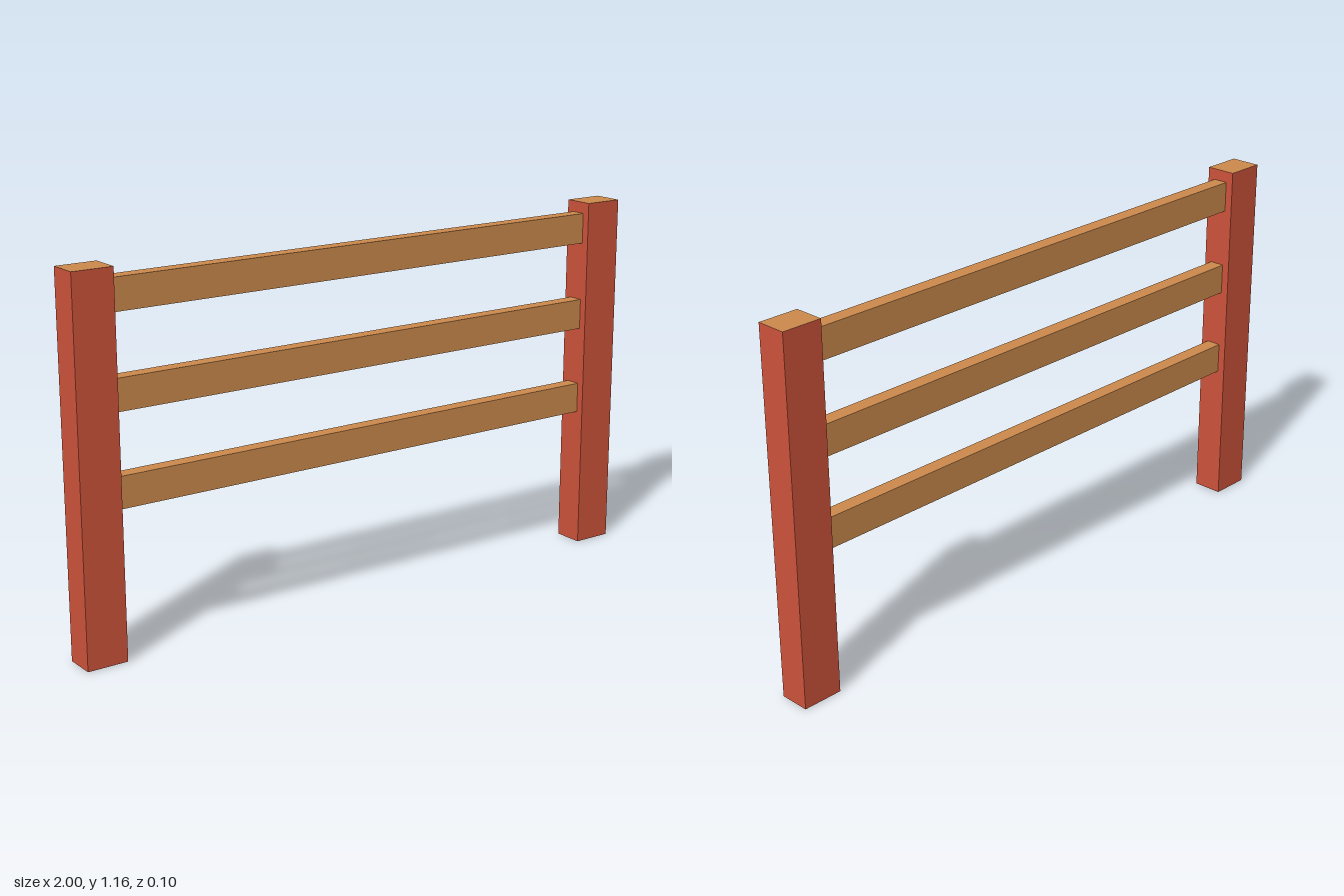
import * as THREE from 'three';

export function createModel() {
  const model = new THREE.Group();
  model.name = 'fence';

  const red = new THREE.MeshStandardMaterial({ color: 0xcd533b });
  red.name = 'red paint';
  const wood = new THREE.MeshStandardMaterial({ color: 0xcc8a4c });
  wood.name = 'bare wood';

  const postWidth = 0.13, postHeight = 1.16, postDepth = 0.098;
  const postX = 1 - postWidth / 2;

  // Posts: painted sides, bare wood on the cut top and bottom
  const postGeometry = new THREE.BoxGeometry(postWidth, postHeight, postDepth);
  for (const [name, side] of [['leftPost', 1], ['rightPost', -1]]) {
    const post = new THREE.Mesh(postGeometry, [red, red, wood, wood, red, red]);
    post.name = name;
    post.position.set(side * postX, postHeight / 2, 0);
    model.add(post);
  }

  // Three rails spanning between the inner faces of the posts
  const railGeometry = new THREE.BoxGeometry(2 - 2 * postWidth, 0.098, 0.048);
  ['lowerRail', 'middleRail', 'upperRail'].forEach((name, i) => {
    const rail = new THREE.Mesh(railGeometry, wood);
    rail.name = name;
    rail.position.y = 0.503 + i * 0.286;
    model.add(rail);
  });

  return model;
}
